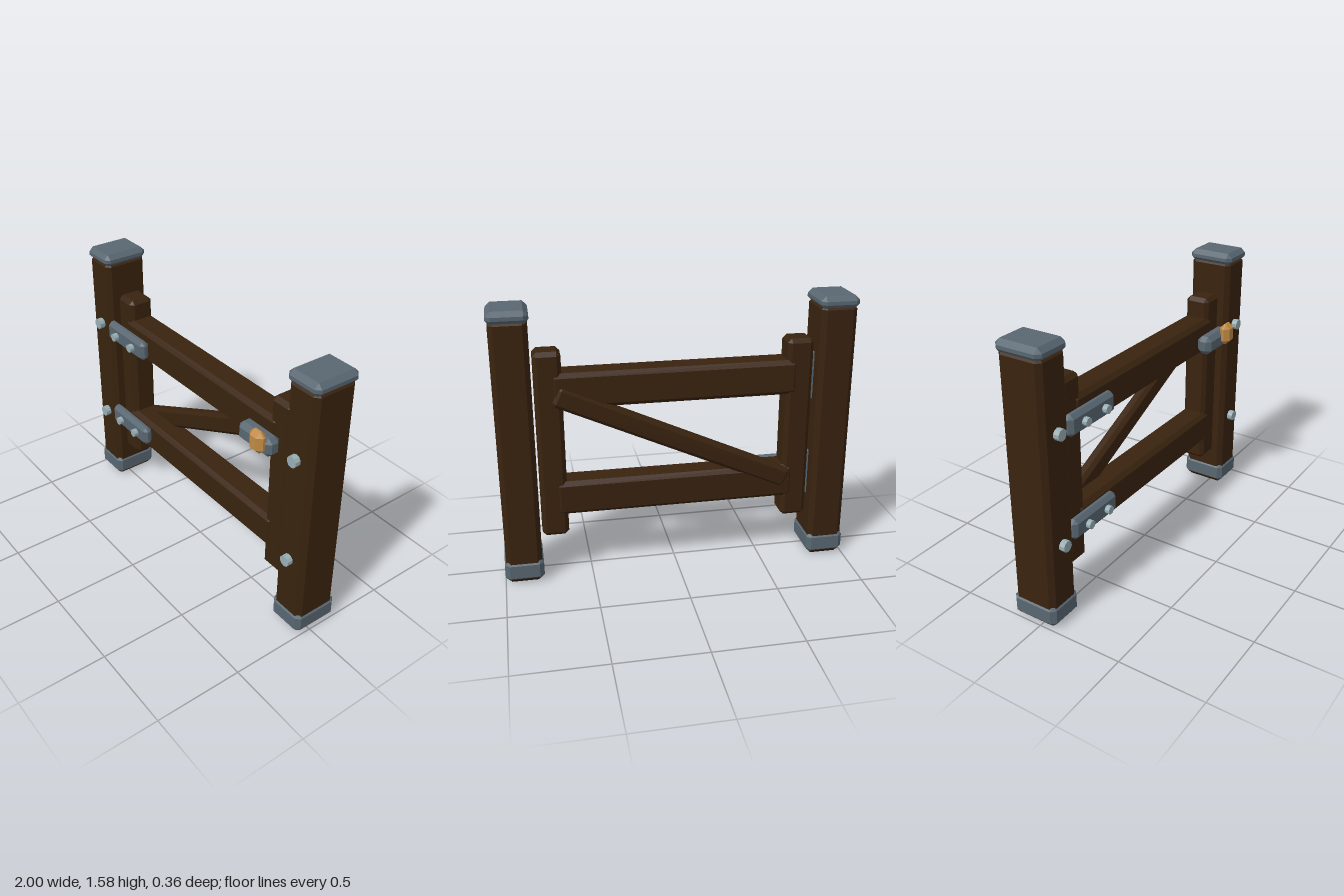
import * as THREE from 'three';
import { ConvexGeometry } from 'three/addons/geometries/ConvexGeometry.js';

const flat = (name, color) => {
  const m = new THREE.MeshStandardMaterial({ color });
  m.name = name;
  return m;
};

// Box with every edge cut at 45 degrees
function bevelBox(w, h, d, c) {
  const pts = [];
  for (const sx of [-1, 1]) for (const sy of [-1, 1]) for (const sz of [-1, 1]) {
    for (let full = 0; full < 3; full++) {
      const half = [w / 2, h / 2, d / 2].map((v, i) => (i === full ? v : v - c));
      pts.push(new THREE.Vector3(sx * half[0], sy * half[1], sz * half[2]));
    }
  }
  return new ConvexGeometry(pts);
}

export function createModel() {
  const wood = flat('dark wood', 0x39230f);
  const iron = flat('iron', 0x596771);
  const steel = flat('pale steel', 0x98aeb4);
  const brass = flat('brass', 0xc08a46);
  const model = new THREE.Group();
  model.name = 'gate';

  const add = (name, geometry, material, parent = model) => {
    const mesh = new THREE.Mesh(geometry, material);
    mesh.name = name;
    parent.add(mesh);
    return mesh;
  };
  // Bevelled block given by its [min, max] on each axis
  const block = (name, material, x, y, z, c, parent) => {
    const mesh = add(name, bevelBox(x[1] - x[0], y[1] - y[0], z[1] - z[0], c), material, parent);
    mesh.position.set((x[0] + x[1]) / 2, (y[0] + y[1]) / 2, (z[0] + z[1]) / 2);
    return mesh;
  };
  // Bolt head facing the front
  const bolt = (name, x, y, z0, z1, r, parent) => {
    const g = new THREE.CylinderGeometry(r, r, z1 - z0, 10).toNonIndexed();
    g.computeVertexNormals();
    g.rotateX(Math.PI / 2);
    add(name, g, steel, parent).position.set(x, y, (z0 + z1) / 2);
  };

  // Posts with iron caps, shoes and bolts
  for (const side of [-1, 1]) {
    const post = new THREE.Group();
    post.name = side < 0 ? 'rightPost' : 'leftPost';
    model.add(post);
    const span = (half) => [side * 0.89 - half, side * 0.89 + half];
    block('postBeam', wood, span(0.102), [0, 1.53], [-0.172, 0.087], 0.027, post);
    block('postCap', iron, span(0.11), [1.505, 1.577], [-0.18, 0.095], 0.026, post);
    block('postShoe', iron, span(0.11), [0.012, 0.142], [-0.18, 0.095], 0.026, post);
    for (const y of [0.48, 1.115]) bolt('postBolt', side * 0.887, y, 0.07, 0.12, 0.032, post);
  }

  // Gate leaf: stiles, rails and diagonal brace
  const leaf = new THREE.Group();
  leaf.name = 'gateLeaf';
  model.add(leaf);
  for (const side of [-1, 1]) {
    block('stile', wood, [side * 0.7 - 0.075, side * 0.7 + 0.075], [0.25, 1.333], [-0.112, 0.037], 0.023, leaf);
  }
  for (const y of [0.48, 1.113]) {
    block('rail', wood, [-0.687, 0.687], [y - 0.1, y + 0.1], [-0.12, 0.046], 0.024, leaf);
  }
  const brace = block('brace', wood, [-0.72, 0.72], [-0.06, 0.06], [-0.134, -0.06], 0.02, leaf);
  brace.position.set(0.01, 0.795, -0.097);
  brace.rotation.z = Math.atan2(0.59, 1.3);

  // Hinges: strap, strap bolts and the knuckle plate in the gap
  for (const y of [0.51, 1.108]) {
    const hinge = new THREE.Group();
    hinge.name = 'hinge';
    model.add(hinge);
    block('strap', iron, [-0.802, -0.427], [y - 0.06, y + 0.06], [0.045, 0.106], 0.022, hinge);
    for (const x of [-0.693, -0.526]) bolt('strapBolt', x, y - 0.002, 0.09, 0.133, 0.024, hinge);
    block('knuckle', iron, [-0.8, -0.768], [y - 0.14, y + 0.14], [-0.08, 0], 0.006, hinge);
  }

  // Latch
  const latch = new THREE.Group();
  latch.name = 'latch';
  model.add(latch);
  block('latchPlate', iron, [0.488, 0.738], [1.04, 1.15], [0.045, 0.137], 0.027, latch);
  block('latchHandle', brass, [0.624, 0.722], [1.07, 1.197], [0.118, 0.183], 0.027, latch);
  return model;
}
